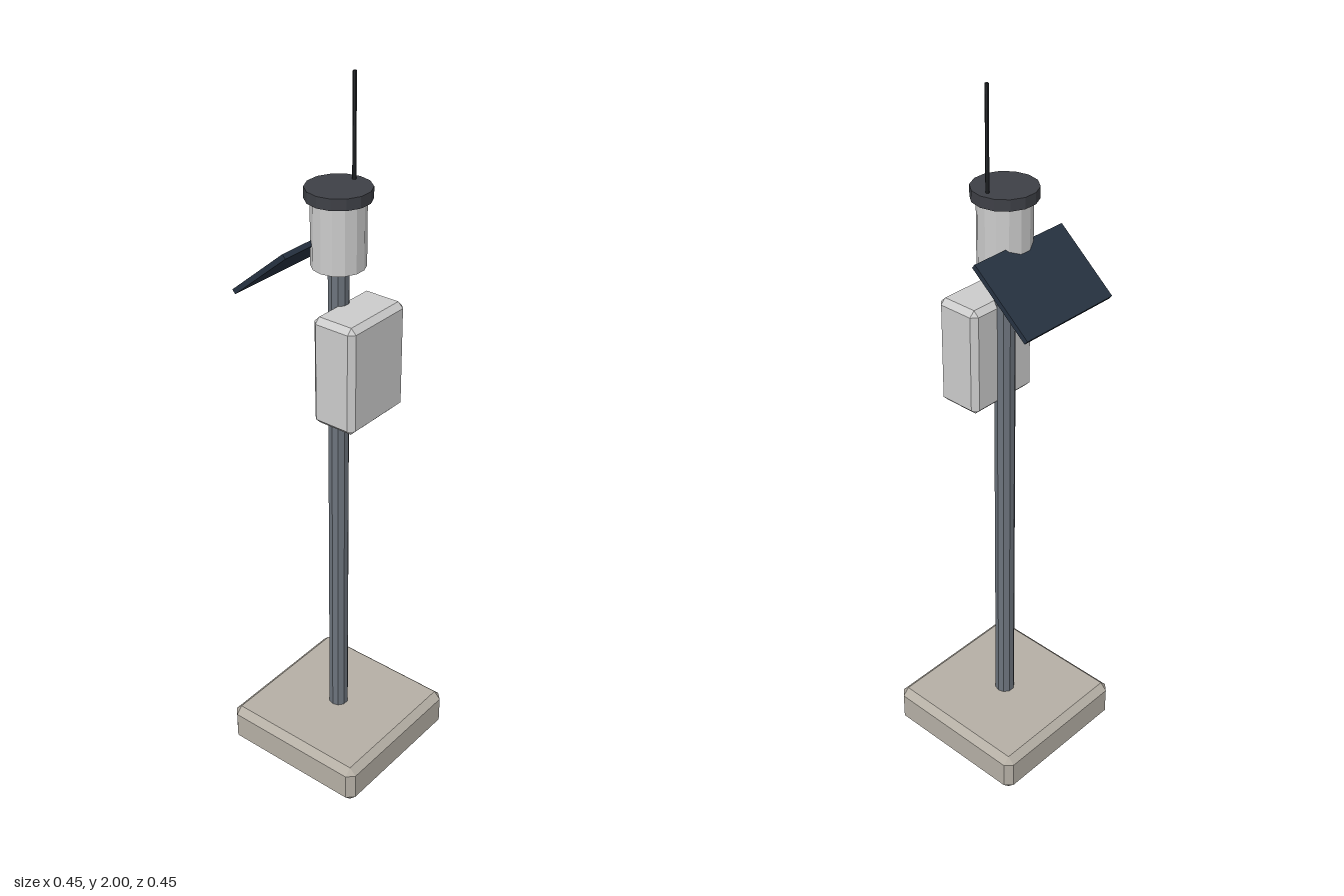
import * as THREE from 'three';
import { ConvexGeometry } from 'three/addons/geometries/ConvexGeometry.js';

const material = (color) => new THREE.MeshStandardMaterial({ color, flatShading: true });

// Box with every edge chamfered by c
function chamferBox(w, h, d, c) {
  const points = [];
  for (const sx of [-1, 1]) for (const sy of [-1, 1]) for (const sz of [-1, 1]) {
    for (let axis = 0; axis < 3; axis++) {
      const inset = [c, c, c];
      inset[axis] = 0;
      points.push(new THREE.Vector3(
        sx * (w / 2 - inset[0]), sy * (h / 2 - inset[1]), sz * (d / 2 - inset[2])));
    }
  }
  return new ConvexGeometry(points);
}

// Upright cylinder from y0 to y1, with a corner on the x axis
function post(radius, y0, y1, sides) {
  return new THREE.CylinderGeometry(radius, radius, y1 - y0, sides)
    .rotateY(Math.PI / 2).translate(0, (y0 + y1) / 2, 0);
}

export function createModel() {
  const model = new THREE.Group();
  model.name = 'sensorMast';
  const add = (name, geometry, color) => {
    const mesh = new THREE.Mesh(geometry, material(color));
    mesh.name = name;
    model.add(mesh);
    return mesh;
  };

  // Foundation and mast
  add('base', chamferBox(0.45, 0.12, 0.45, 0.02), 0xb5afa5).position.y = 0.06;
  add('pole', post(0.028, 0.11, 1.54, 10), 0x6c737c);

  // Equipment box on the front of the mast
  add('equipmentBox', chamferBox(0.22, 0.3, 0.13, 0.015), 0xcccccc).position.set(0, 1.28, 0.065);

  // Sensor head with cap and whip antenna
  add('sensorHead', post(0.07, 1.53, 1.705, 14), 0xcccccc);
  add('headCap', post(0.085, 1.705, 1.735, 14), 0x3e4046);
  add('antenna', post(0.005, 1.73, 2, 6), 0x25272b).position.x = 0.06;

  // Solar panel sloping down to the back
  const panel = add('solarPanel', new THREE.BoxGeometry(0.31, 0.014, 0.22), 0x263241);
  panel.position.set(0, 1.523, -0.1275);
  panel.rotation.x = -0.7;

  return model;
}
